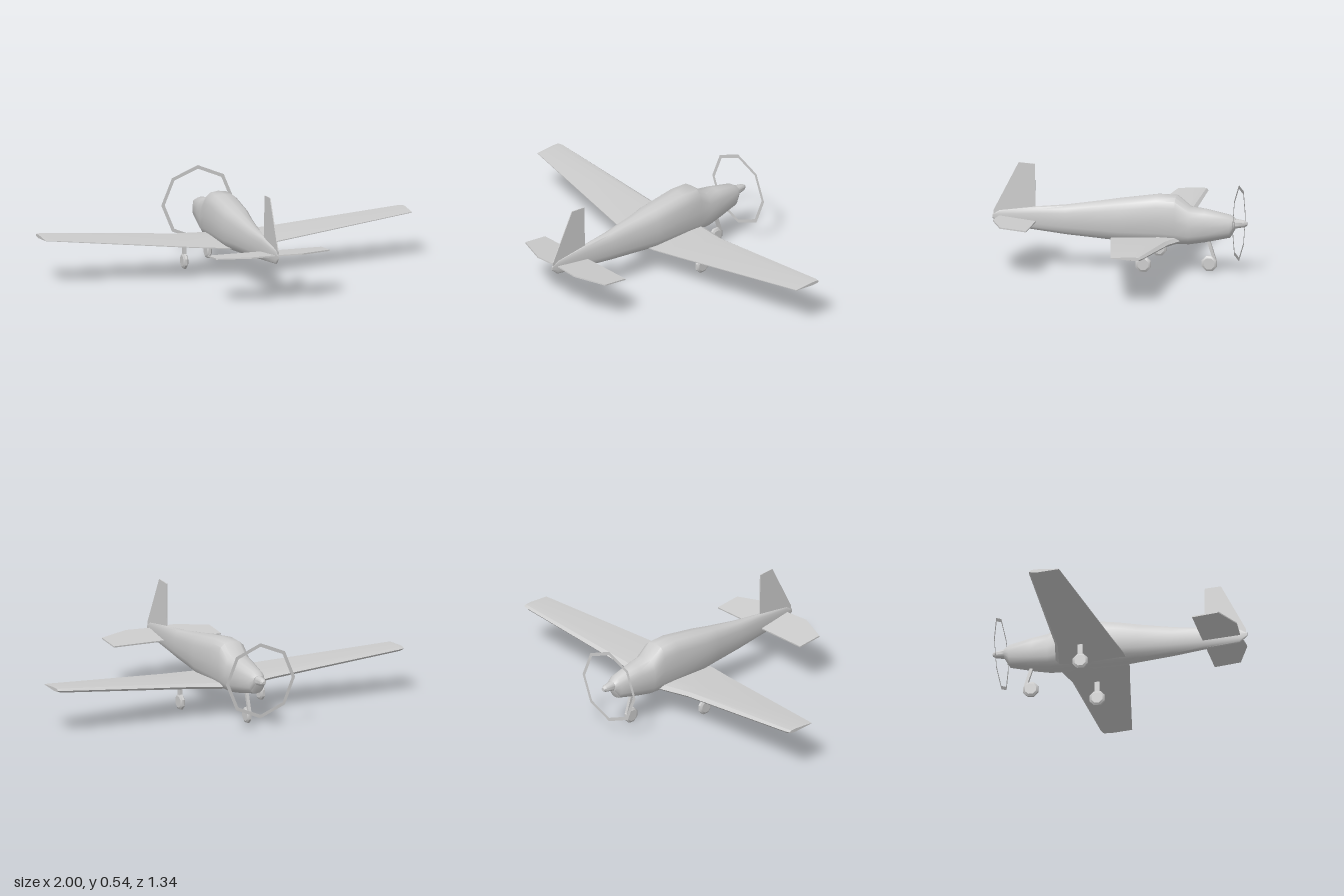
import * as THREE from 'three';
import { toCreasedNormals } from 'three/addons/utils/BufferGeometryUtils.js';

const grey = new THREE.MeshStandardMaterial({ color: 0xcccccc });
const sheet = new THREE.MeshStandardMaterial({ color: 0xcccccc, side: THREE.DoubleSide });

// Skin a row of equal-length loops and close both ends
function loft(loops, crease) {
  const n = loops[0].length, last = (loops.length - 1) * n, index = [];
  for (let i = 0; i < loops.length - 1; i++) {
    for (let j = 0; j < n; j++) {
      const a = i * n + j, b = i * n + (j + 1) % n;
      index.push(a, b, a + n, b, b + n, a + n);
    }
  }
  for (let j = 1; j < n - 1; j++) {
    index.push(0, j + 1, j, last, last + j, last + j + 1);
  }
  const geo = new THREE.BufferGeometry();
  geo.setAttribute('position', new THREE.Float32BufferAttribute(loops.flat(2), 3));
  geo.setIndex(index);
  return toCreasedNormals(geo, crease);
}

function plate(points, thickness) {
  const shape = new THREE.Shape(points.map(p => new THREE.Vector2(...p)));
  return new THREE.ExtrudeGeometry(shape, { depth: thickness, bevelEnabled: false })
    .translate(0, 0, -thickness / 2);
}

function lathe(profile, sides, crease) {
  const geo = new THREE.LatheGeometry(profile.map(p => new THREE.Vector2(...p)), sides);
  geo.deleteAttribute('normal');
  geo.deleteAttribute('uv');
  return toCreasedNormals(geo, crease);
}

export function createModel() {
  const model = new THREE.Group();
  model.name = 'aeroplane';
  const add = (name, geo, parent = model, material = grey) => {
    const mesh = new THREE.Mesh(geo, material);
    mesh.name = name;
    parent.add(mesh);
    return mesh;
  };

  // Fuselage: z, bottom, top, half width, squareness (1 = oval, smaller = boxier)
  const sections = [
    [-0.608, 0.228, 0.28, 0.032, 0.9],
    [-0.58, 0.18, 0.3, 0.046, 0.85],
    [-0.45, 0.152, 0.327, 0.066, 0.75],
    [-0.37, 0.14, 0.337, 0.078, 0.7],
    [-0.3, 0.14, 0.394, 0.082, 0.65],
    [-0.2, 0.145, 0.397, 0.084, 0.65],
    [0, 0.148, 0.37, 0.077, 0.7],
    [0.1, 0.155, 0.354, 0.06, 0.75],
    [0.28, 0.17, 0.327, 0.04, 0.8],
    [0.44, 0.189, 0.312, 0.022, 0.85],
    [0.63, 0.212, 0.288, 0.007, 0.9],
    [0.668, 0.245, 0.265, 0.003, 1],
  ];
  const SIDES = 16;
  const power = (v, e) => Math.sign(v) * Math.abs(v) ** e;
  add('fuselage', loft(sections.map(([z, low, high, half, e]) =>
    Array.from({ length: SIDES }, (_, j) => {
      const a = j / SIDES * Math.PI * 2;
      return [half * power(Math.cos(a), e),
        (low + high) / 2 + (high - low) / 2 * power(Math.sin(a), e), z];
    })), 0.7));

  // Wing: x, leading edge z, trailing edge z, mid height, thickness
  const half = [
    [0, -0.335, 0.04, 0.163, 0.036],
    [0.08, -0.325, 0.035, 0.166, 0.036],
    [0.24, -0.297, 0.005, 0.177, 0.034],
    [0.975, -0.291, -0.126, 0.238, 0.025],
    [1, -0.285, -0.13, 0.24, 0.018],
  ];
  const stations = [...half.slice(1).reverse().map(([x, ...r]) => [-x, ...r]), ...half];
  const airfoil = [[0.07, 0.42], [0.3, 0.5], [1, 0.12], [1, -0.02], [0.3, -0.5], [0.05, -0.4], [0, 0]];
  add('wing', loft(stations.map(([x, lead, trail, y, t]) =>
    airfoil.map(([c, h]) => [x, y + h * t, lead + c * (trail - lead)])), 0.5));

  // Tail surfaces
  add('fin', plate([[0.44, 0.22], [0.66, 0.25], [0.662, 0.285], [0.53, 0.54], [0.445, 0.534]], 0.005)
    .rotateY(-Math.PI / 2));
  const tail = add('tailplane', plate([[-0.31, 0], [0.31, 0], [0.31, 0.138], [0.14, 0.205],
    [0, 0.195], [-0.14, 0.205], [-0.31, 0.138]], 0.007).rotateX(Math.PI / 2));
  tail.position.set(0, 0.234, 0.437);
  tail.rotation.x = -0.11;

  // Spinner and propeller disc rim
  add('spinner', lathe([[0.027, 0], [0.022, 0.025], [0.018, 0.05], [0.009, 0.064], [0, 0.066]], 10, 0.7)
    .rotateX(-Math.PI / 2).translate(0, 0.255, -0.605));
  add('propellerRing', new THREE.RingGeometry(0.181, 0.2, 8, 1, Math.PI / 2)
    .translate(0, 0.257, -0.625), model, sheet);

  // Landing gear: wheel with bevelled rim, plus a strut from wheel to airframe
  const wheelProfile = [[0, -0.013], [0.031, -0.013], [0.0425, -0.006],
    [0.0425, 0.006], [0.031, 0.013], [0, 0.013]];
  function gear(name, x, y, z, from, to, width) {
    const group = new THREE.Group();
    group.name = name;
    add('wheel', lathe(wheelProfile, 8, 0.5).rotateY(Math.PI / 8).rotateZ(Math.PI / 2)
      .translate(x, y, z), group);
    const a = new THREE.Vector3(x, ...from), b = new THREE.Vector3(x, ...to);
    const strut = add('strut', new THREE.BoxGeometry(0.016, a.distanceTo(b), width), group);
    strut.position.copy(a).add(b).multiplyScalar(0.5);
    strut.rotation.x = Math.atan2(b.z - a.z, b.y - a.y);
    model.add(group);
  }
  for (const side of [-1, 1]) {
    gear(side > 0 ? 'leftMainGear' : 'rightMainGear', side * 0.232, 0.07, -0.165,
      [0.085, -0.165], [0.175, -0.165], 0.025);
  }
  gear('noseGear', 0, 0.041, -0.47, [0.06, -0.498], [0.17, -0.463], 0.016);

  return model;
}
